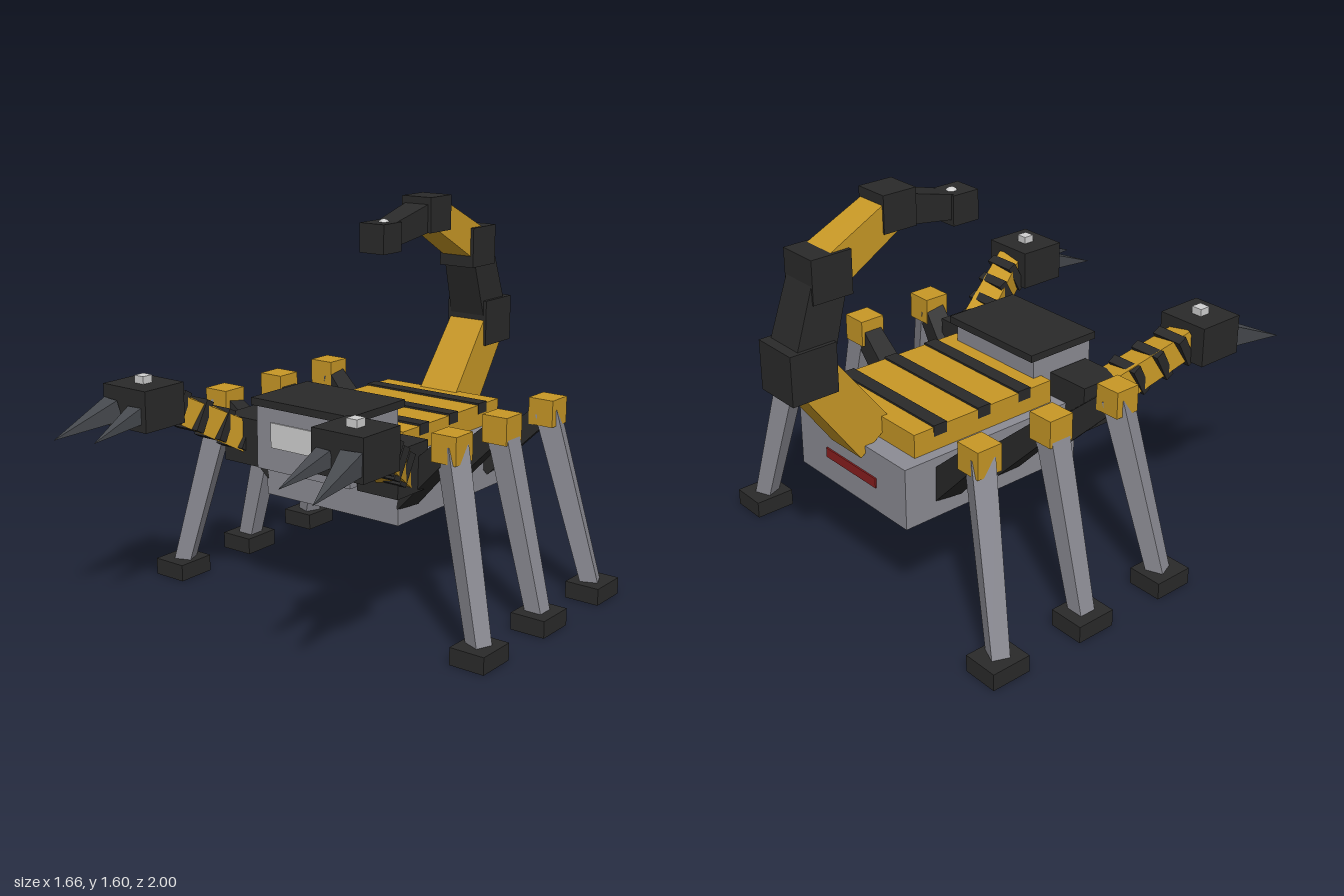
import * as THREE from 'three';

const mat = (name, color) => {
  const m = new THREE.MeshStandardMaterial({ color });
  m.name = name;
  return m;
};

export function createModel() {
  const black = mat('black', 0x2a2a2a);
  const yellow = mat('amber', 0xc89826);
  const gray = mat('steel', 0x8c8c94);
  const light = mat('lightGray', 0xd0d0d0);
  const dark = mat('darkSteel', 0x474a4f);
  const red = mat('red', 0x8a1f1f);

  const model = new THREE.Group();
  model.name = 'scorpionWalker';

  const add = (parent, name, geometry, material) => {
    const mesh = new THREE.Mesh(geometry, material);
    mesh.name = name;
    parent.add(mesh);
    return mesh;
  };
  const group = (name) => {
    const g = new THREE.Group();
    g.name = name;
    model.add(g);
    return g;
  };
  // Box given by its centre and size
  const box = (parent, name, material, [x, y, z], [w, h, d]) => {
    const mesh = add(parent, name, new THREE.BoxGeometry(w, h, d), material);
    mesh.position.set(x, y, z);
    return mesh;
  };
  // Square tapered bar from a to b, with side lengths at each end
  const beam = (parent, name, material, a, b, sideA, sideB) => {
    const from = new THREE.Vector3(...a), to = new THREE.Vector3(...b);
    const geo = new THREE.CylinderGeometry(sideB * Math.SQRT1_2, sideA * Math.SQRT1_2,
      from.distanceTo(to), 4, 1, false, Math.PI / 4).rotateX(Math.PI / 2).toNonIndexed();
    geo.computeVertexNormals();
    const mesh = add(parent, name, geo, material);
    mesh.position.copy(from).lerp(to, 0.5);
    mesh.lookAt(to);
    return mesh;
  };

  // Hull, striped deck and tail light
  const body = group('body');
  box(body, 'hull', gray, [0, 0.545, -0.28], [0.66, 0.25, 0.84]);
  box(body, 'deck', yellow, [0, 0.715, -0.285], [0.57, 0.1, 0.67]);
  for (const z of [-0.5, -0.29, -0.088]) {
    box(body, 'deckStripe', black, [0, 0.75, z], [0.574, 0.045, 0.06]);
  }
  box(body, 'tailLight', red, [0, 0.54, -0.702], [0.31, 0.04, 0.009]);

  // Head with roof and windscreen
  const head = group('head');
  box(head, 'cabin', gray, [0, 0.718, 0.16], [0.46, 0.256, 0.3]);
  box(head, 'roof', black, [0, 0.86, 0.155], [0.49, 0.03, 0.34]);
  box(head, 'windscreen', light, [0, 0.735, 0.312], [0.31, 0.1, 0.008]);

  for (const s of [1, -1]) {
    const side = s > 0 ? 'left' : 'right';

    // Three legs per side, splayed fore and aft
    for (const k of [1, 0, -1]) {
      const leg = group(side + ['Rear', 'Middle', 'Front'][k + 1] + 'Leg');
      const hip = [s * 0.3, 0.525, -0.21 + k * 0.29];
      const knee = [s * 0.565, 0.775, -0.21 + k * 0.34];
      const ankle = [s * 0.75, 0.06, -0.21 + k * 0.415];
      beam(leg, 'thigh', black, hip, knee, 0.11, 0.08);
      box(leg, 'knee', yellow, knee, [0.11, 0.11, 0.11]);
      beam(leg, 'shin', gray, knee, ankle, 0.09, 0.07);
      box(leg, 'foot', black, [s * 0.755, 0.035, -0.21 + k * 0.42], [0.15, 0.07, 0.17]);
    }

    // Banded arm
    const arm = group(side + 'Arm');
    const start = new THREE.Vector3(s * 0.36, 0.66, 0.19);
    const end = new THREE.Vector3(s * 0.52, 0.875, 0.57);
    box(arm, 'shoulder', black, [s * 0.335, 0.675, 0.185], [0.19, 0.19, 0.19]);
    beam(arm, 'forearm', yellow, start.toArray(), end.toArray(), 0.125, 0.105);
    for (const t of [0.17, 0.4, 0.63, 0.85]) {
      const p = start.clone().lerp(end, t);
      box(arm, 'armBand', black, p.toArray(), [0.14, 0.13, 0.04]).rotation.x = -0.5;
    }

    // Claw with two spikes
    const claw = group(side + 'Claw');
    box(claw, 'clawBlock', black, [s * 0.513, 0.872, 0.637], [0.225, 0.162, 0.205]);
    box(claw, 'clawLamp', light, [s * 0.513, 0.965, 0.637], [0.047, 0.036, 0.047]);
    beam(claw, 'outerSpike', dark, [s * 0.578, 0.86, 0.735], [s * 0.62, 0.785, 0.998], 0.085, 0.001);
    beam(claw, 'innerSpike', dark, [s * 0.456, 0.855, 0.735], [s * 0.443, 0.795, 0.96], 0.065, 0.001);
  }

  // Arched tail: [y, z, joint size, segment start side, segment end side, segment colour]
  const tail = group('tail');
  const joints = [
    [0.68, -0.645, 0, 0.185, 0.17, yellow],
    [1.03, -0.903, 0.195, 0.17, 0.15, black],
    [1.365, -0.8, 0.168, 0.145, 0.125, yellow],
    [1.53, -0.492, 0.144, 0.12, 0.09, black],
    [1.463, -0.18, 0.118],
  ];
  joints.forEach(([y, z, size, sideA, sideB, color], i) => {
    if (size) box(tail, 'tailJoint', black, [0, y, z], [size, size, size]);
    const next = joints[i + 1];
    if (next) beam(tail, 'tailSegment', color, [0, y, z], [0, next[0], next[1]], sideA, sideB);
  });
  const tip = add(tail, 'tailLamp', new THREE.SphereGeometry(0.026, 10, 8), light);
  tip.position.set(0, 1.508, -0.2);

  return model;
}
